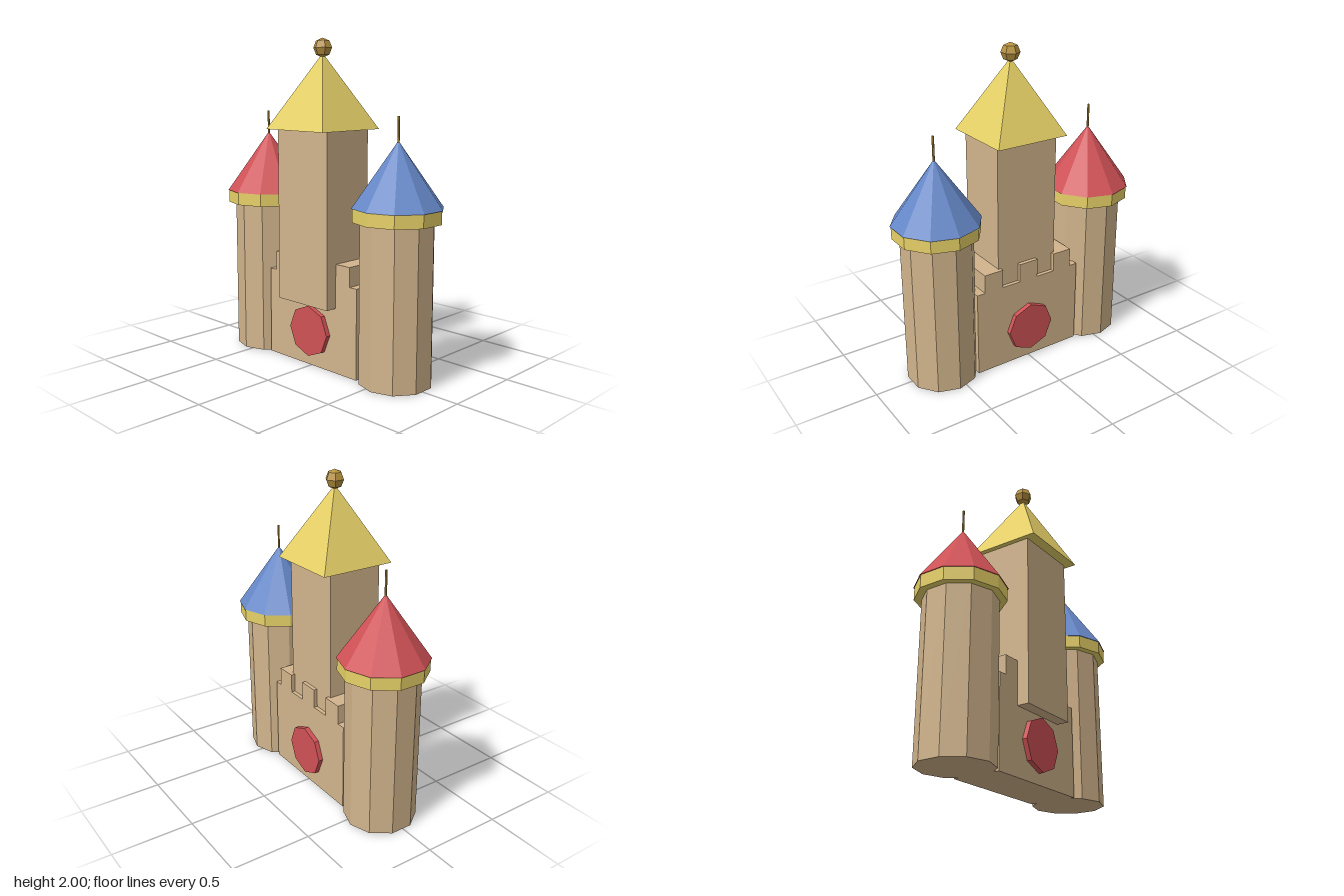
import * as THREE from 'three';

function flat(name, color) {
  const m = new THREE.MeshStandardMaterial({ color, flatShading: true });
  m.name = name;
  return m;
}

export function createModel() {
  const stone = flat('tan stone', 0xd2b48c);
  const yellow = flat('yellow', 0xe8d268);
  const red = flat('red', 0xd05256);
  const blue = flat('blue', 0x6688c8);
  const gold = flat('dark gold', 0xb8923f);

  const castle = new THREE.Group();
  castle.name = 'castle';

  function add(parent, name, geometry, material, x, y, z) {
    const mesh = new THREE.Mesh(geometry, material);
    mesh.name = name;
    mesh.position.set(x, y, z);
    parent.add(mesh);
    return mesh;
  }
  const box = (w, h, d) => new THREE.BoxGeometry(w, h, d);
  const prism = (r, h, n) => new THREE.CylinderGeometry(r, r, h, n);
  const midZ = -0.01;

  // Gate wall with three full-depth merlons
  add(castle, 'gateWall', box(0.75, 0.555, 0.3), stone, 0, 0.2775, midZ);
  for (const x of [-0.255, 0, 0.255]) {
    add(castle, 'merlon', box(0.13, 0.12, 0.3), stone, x, 0.615, midZ);
  }

  // Octagonal disc standing proud of both wall faces
  const disc = add(castle, 'gateDisc', prism(0.16, 0.36, 8), red, 0, 0.225, midZ);
  disc.rotation.x = Math.PI / 2;

  // Keep, overhanging the wall at the front
  const keep = new THREE.Group();
  keep.name = 'keep';
  keep.position.z = 0.04;
  castle.add(keep);
  add(keep, 'keepWalls', box(0.416, 1.055, 0.35), stone, 0, 0.9325, 0);
  const roof = add(keep, 'keepRoof', new THREE.ConeGeometry(0.24 * Math.SQRT2, 0.45, 4), yellow, 0, 1.685, 0);
  roof.rotation.y = Math.PI / 4;
  const ball = add(keep, 'finialBall', new THREE.SphereGeometry(0.058, 6, 4), gold, 0, 1.942, 0);
  ball.rotation.y = Math.PI / 2;

  // Ten-sided side towers with collar, pointed roof and pole
  for (const [side, roofMaterial] of [[-1, red], [1, blue]]) {
    const tower = new THREE.Group();
    tower.name = side < 0 ? 'rightTower' : 'leftTower';
    tower.position.set(side * 0.55, 0, midZ);
    castle.add(tower);
    add(tower, 'towerWalls', prism(0.22, 1.0, 10), stone, 0, 0.5, 0);
    add(tower, 'towerCollar', prism(0.264, 0.08, 10), yellow, 0, 0.998, 0);
    add(tower, 'towerRoof', new THREE.ConeGeometry(0.27, 0.38, 10), roofMaterial, 0, 1.227, 0);
    add(tower, 'towerPole', prism(0.007, 0.19, 6), gold, 0, 1.46, 0);
  }

  return castle;
}
